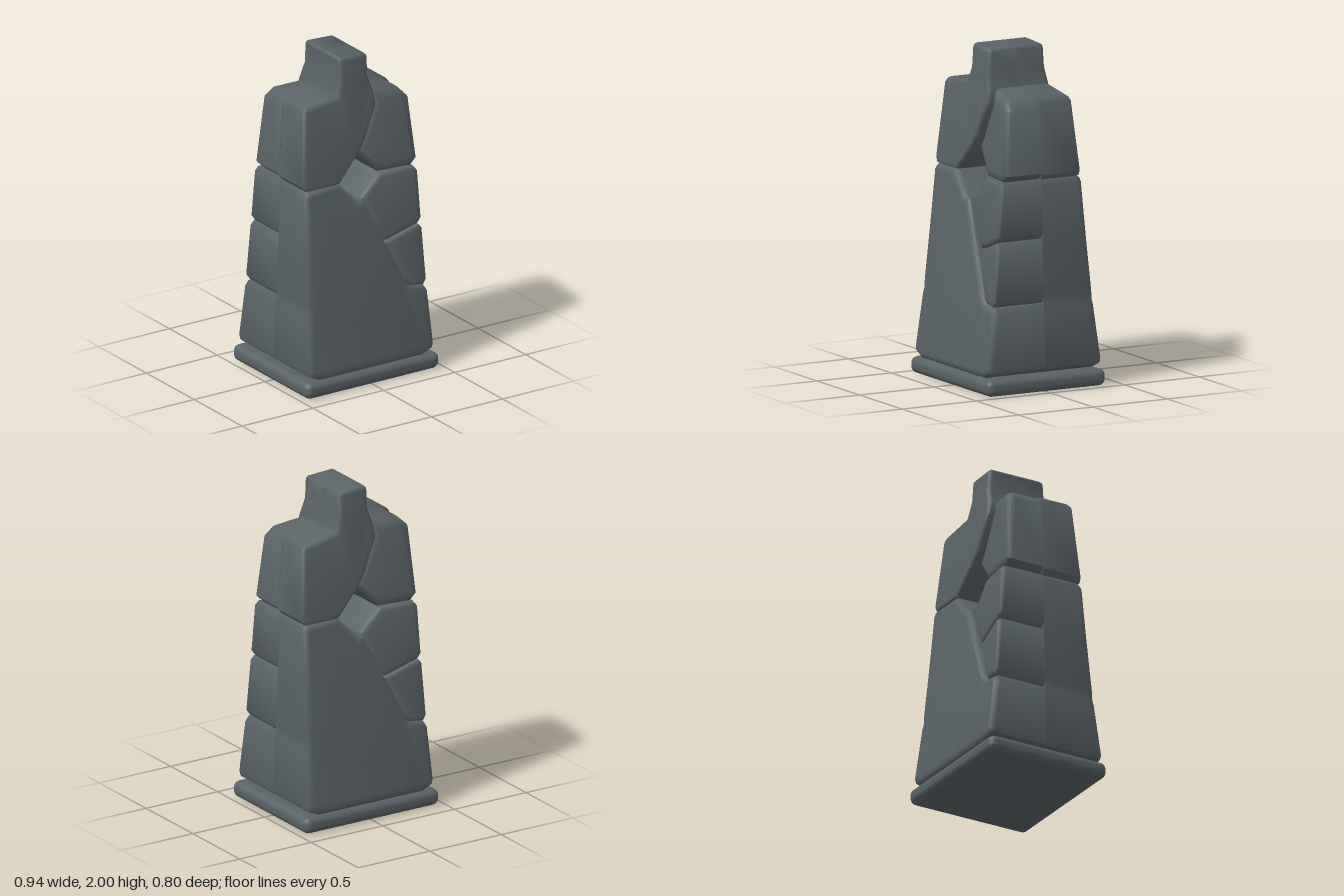
import * as THREE from 'three';
import { toCreasedNormals } from 'three/addons/utils/BufferGeometryUtils.js';
import { RoundedBoxGeometry } from 'three/addons/geometries/RoundedBoxGeometry.js';

const stoneGrey = new THREE.MeshStandardMaterial({ color: 0x596265 });
stoneGrey.name = 'stoneGrey';

// half depth of the tapering tower at each height
const DEPTH = [[0.1, 0.39], [0.2, 0.38], [0.5, 0.34], [1.24, 0.275], [1.27, 0.262],
  [1.72, 0.22], [1.78, 0.2], [2, 0.185]];
function halfDepth(y) {
  for (let i = 1; i < DEPTH.length; i++) {
    const [y0, d0] = DEPTH[i - 1], [y1, d1] = DEPTH[i];
    if (y <= y1) return d0 + (d1 - d0) * Math.max(0, (y - y0) / (y1 - y0));
  }
  return DEPTH[DEPTH.length - 1][1];
}

// moves every edge of a counter-clockwise outline inwards by d
function inset(points, d) {
  const n = points.length;
  return points.map(([x, y], i) => {
    const [px, py] = points[(i + n - 1) % n], [qx, qy] = points[(i + 1) % n];
    const l1 = Math.hypot(x - px, y - py), l2 = Math.hypot(qx - x, qy - y);
    const ax = -(y - py) / l1, ay = (x - px) / l1;
    const bx = -(qy - y) / l2, by = (qx - x) / l2;
    const k = d / Math.max(0.35, 1 + ax * bx + ay * by);
    return [x + (ax + bx) * k, y + (ay + by) * k];
  });
}

// half-depth stone: outline drawn at z = 0, rounded off onto the sloping face;
// recess sinks the face towards the middle of the tower
function stoneGeometry(outline, bevel, recess, tilt) {
  const n = outline.length, pos = [], index = [];
  const addRing = (pts, zOf) => pts.forEach(([x, y]) => {
    const lift = tilt * x * THREE.MathUtils.smoothstep(y, 1.4, 1.7);
    pos.push(x, y - lift, zOf(x, y));
  });
  addRing(outline, () => 0);
  const steps = 3;
  for (let s = 0; s <= steps; s++) {
    const a = (s / steps) * Math.PI / 2;
    addRing(inset(outline, bevel * (1 - Math.cos(a))), (x, y) =>
      halfDepth(y) - recess * Math.max(0, 1 - x / 0.38) - bevel * (1 - Math.sin(a)));
  }
  for (let r = 0; r <= steps; r++) {
    for (let i = 0; i < n; i++) {
      const j = (i + 1) % n, a = r * n, b = a + n;
      index.push(a + i, a + j, b + j, a + i, b + j, b + i);
    }
  }
  // front and back caps
  const last = (steps + 1) * n;
  const tris = (pts) => THREE.ShapeUtils.triangulateShape(pts.map(p => new THREE.Vector2(...p)), []);
  tris(inset(outline, bevel)).forEach(([a, b, c]) => index.push(last + a, last + b, last + c));
  tris(outline).forEach(([a, b, c]) => index.push(a, c, b));
  const g = new THREE.BufferGeometry();
  g.setAttribute('position', new THREE.Float32BufferAttribute(pos, 3));
  g.setIndex(index);
  return toCreasedNormals(g, 0.8);
}

const STONES = [
  { name: 'lowerBlock', bevel: 0.035, recess: 0, outline: [
    [-0.36, 0.1], [0.36, 0.1], [0.43, 0.13], [0.44, 0.16], [0.425, 0.48], [0.405, 0.515],
    [0.3, 0.53], [0.268, 0.574], [0.02, 1.11], [-0.02, 1.11], [-0.15, 1.25], [-0.375, 1.25],
    [-0.397, 1.22], [-0.405, 0.9], [-0.42, 0.56], [-0.415, 0.52], [-0.425, 0.48],
    [-0.44, 0.16], [-0.43, 0.13]] },
  { name: 'upperWedge', bevel: 0.028, recess: 0.05, outline: [
    [0.02, 1.11], [0.143, 0.845], [0.17, 0.83], [0.38, 0.9], [0.405, 0.93],
    [0.397, 1.22], [0.375, 1.25], [0.15, 1.25]] },
  { name: 'lowerWedge', bevel: 0.025, recess: 0.05, outline: [
    [0.155, 0.822], [0.268, 0.574], [0.3, 0.53], [0.395, 0.52], [0.418, 0.55],
    [0.406, 0.87], [0.38, 0.9]] },
  { name: 'shoulderAndNeck', bevel: 0.024, recess: 0, outline: [
    [-0.38, 1.25], [-0.15, 1.25], [0, 1.41], [0.05, 1.48], [0.1, 1.6], [0.14, 1.68],
    [0.13, 1.77], [0.1, 1.86], [0.1, 1.985], [0.085, 2], [-0.085, 2], [-0.1, 1.985],
    [-0.1, 1.86], [-0.13, 1.77], [-0.345, 1.745], [-0.37, 1.72], [-0.407, 1.28]] },
  { name: 'shoulderWedge', bevel: 0.045, recess: 0.05, outline: [
    [0, 1.41], [0.15, 1.25], [0.36, 1.25], [0.407, 1.29], [0.375, 1.69], [0.32, 1.747],
    [0.13, 1.77], [0.14, 1.68], [0.1, 1.6], [0.05, 1.48]] },
];

export function createModel() {
  const model = new THREE.Group();
  model.name = 'stoneTower';

  // rounded foot slab
  const slab = new THREE.Mesh(new RoundedBoxGeometry(0.94, 0.1, 0.8, 4, 0.042), stoneGrey);
  slab.name = 'baseSlab';
  slab.position.y = 0.05;
  model.add(slab);

  // the back half is the front half turned half way round
  for (const side of [1, -1]) {
    const half = new THREE.Group();
    half.name = side > 0 ? 'frontHalf' : 'backHalf';
    half.rotation.y = side > 0 ? 0 : Math.PI;
    for (const { name, outline, bevel, recess } of STONES) {
      const mesh = new THREE.Mesh(stoneGeometry(outline, bevel, recess, 0.05 * side), stoneGrey);
      mesh.name = name;
      half.add(mesh);
    }
    model.add(half);
  }
  return model;
}
